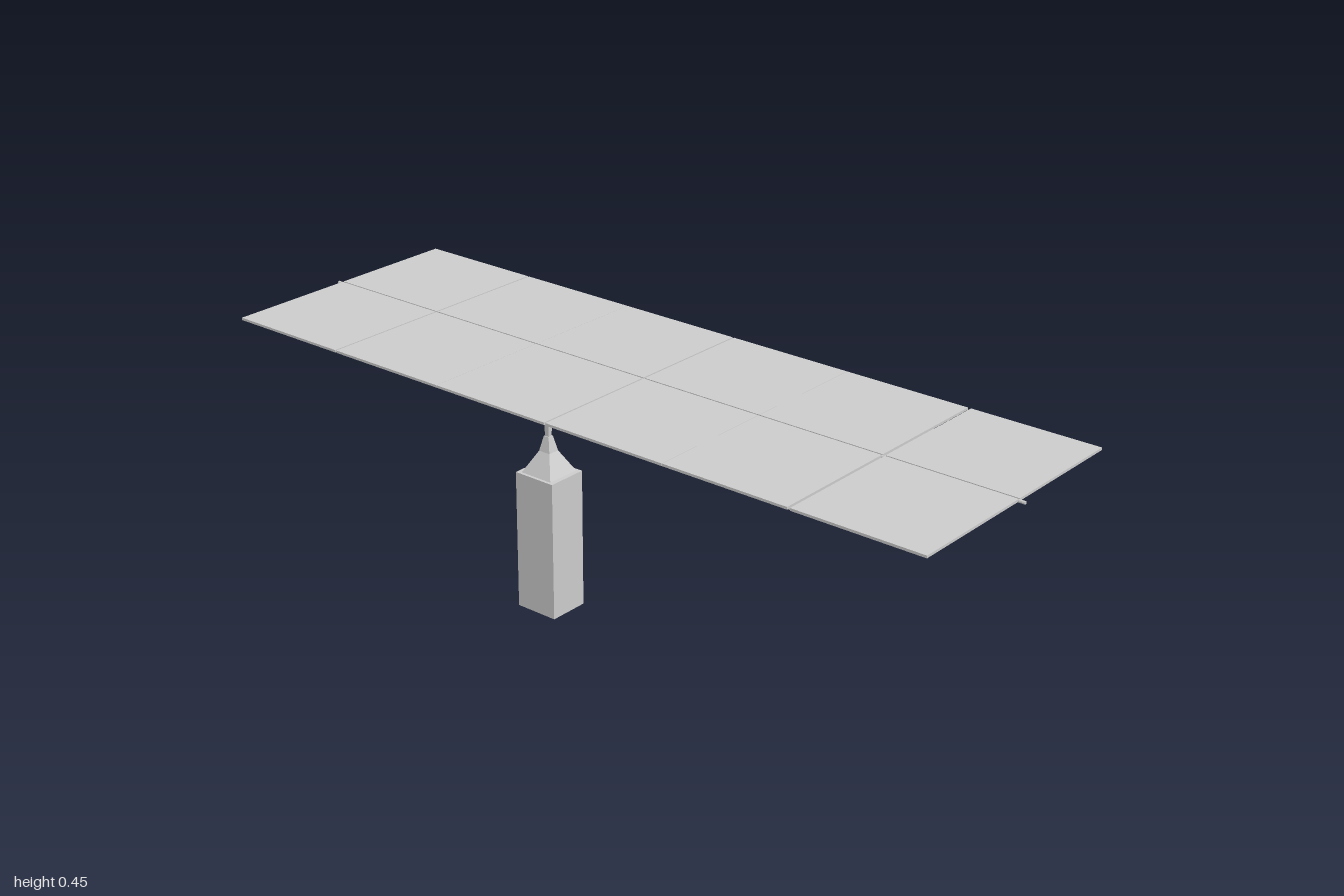
import * as THREE from 'three';

export function createModel() {
  const model = new THREE.Group();
  const mat = new THREE.MeshStandardMaterial({ color: 0xcccccc, flatShading: true, side: THREE.DoubleSide });

  const add = (parent, name, geo) => {
    const mesh = new THREE.Mesh(geo, mat);
    mesh.name = name;
    parent.add(mesh);
    return mesh;
  };
  // Box given by its lower and upper corners
  const box = (parent, name, [x0, y0, z0], [x1, y1, z1]) => {
    add(parent, name, new THREE.BoxGeometry(x1 - x0, y1 - y0, z1 - z0))
      .position.set((x0 + x1) / 2, (y0 + y1) / 2, (z0 + z1) / 2);
  };
  // Four-sided tapered sleeve: half sizes [x, z] at the bottom and top
  const sleeve = (parent, name, y0, y1, low, high) => {
    const geo = new THREE.BoxGeometry(2, 1, 2);
    const p = geo.attributes.position;
    for (let i = 0; i < p.count; i++) {
      const [hx, hz] = p.getY(i) > 0 ? high : low;
      p.setXYZ(i, p.getX(i) * hx, p.getY(i) > 0 ? y1 : y0, p.getZ(i) * hz);
    }
    // Leave out the bottom face (fourth of the six box sides)
    const idx = Array.from(geo.index.array);
    idx.splice(18, 6);
    geo.setIndex(idx);
    geo.computeVertexNormals();
    add(parent, name, geo);
  };

  // Body, tapered shoulder and neck joint
  const body = new THREE.Group();
  body.name = 'body';
  body.position.z = 0.302;
  sleeve(body, 'bodyCase', 0, 0.328, [0.053, 0.049], [0.053, 0.049]);
  sleeve(body, 'shoulder', 0.328, 0.378, [0.042, 0.042], [0.015, 0.014]);
  sleeve(body, 'upperShoulder', 0.378, 0.413, [0.015, 0.014], [0.007, 0.007]);
  sleeve(body, 'neck', 0.413, 0.441, [0.005, 0.005], [0.006, 0.006]);
  model.add(body);

  // Two rows of six flat panels, parted by a narrow gap at every second hinge
  const array = new THREE.Group();
  array.name = 'panelArray';
  const seams = [-0.985, -0.656, -0.328, 0, 0.328, 0.656, 0.985];
  const gap = [0, 0.002, 0.0003, 0.002, 0.0003, 0.004, 0];
  const rows = [[-0.348, -0.021], [-0.017, 0.313]];
  for (let i = 0; i < 6; i++) {
    for (const [z0, z1] of rows) {
      box(array, 'panel', [seams[i] + gap[i], 0.441, z0], [seams[i + 1] - gap[i + 1], 0.447, z1]);
    }
  }
  model.add(array);

  // Hinge strips under the gaps, and the long spar across the middle
  for (const x of [-0.656, 0, 0.656]) {
    box(model, 'hingeStrip', [x - 0.005, 0.438, -0.212], [x + 0.005, 0.4412, 0.306]);
  }
  const spar = add(model, 'spar', new THREE.CylinderGeometry(0.004, 0.004, 2, 8));
  spar.rotation.z = Math.PI / 2;
  spar.position.set(0, 0.442, -0.019);

  return model;
}
